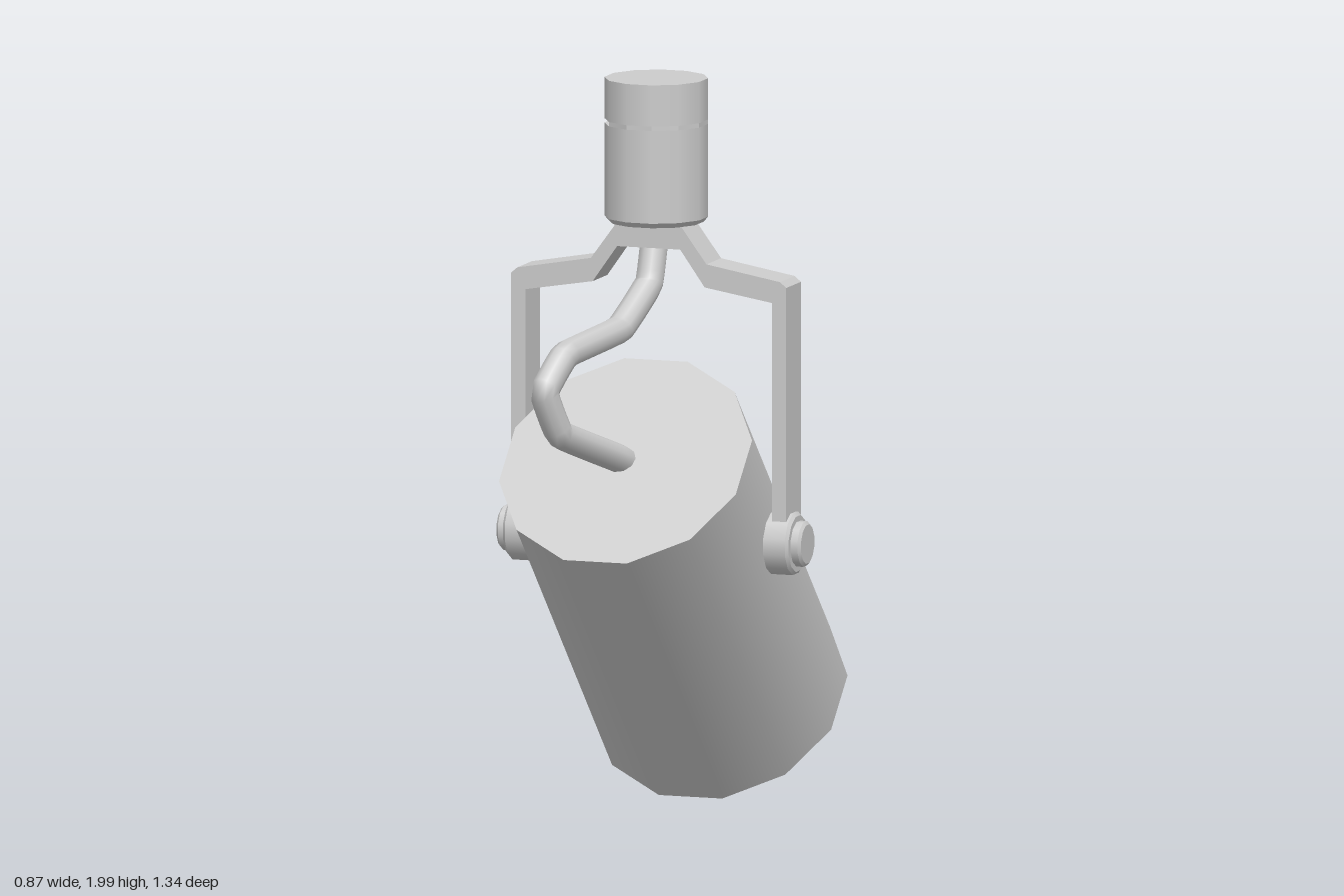
import * as THREE from 'three';
import { mergeGeometries } from 'three/addons/utils/BufferGeometryUtils.js';

const SIDES = 12;
const APOTHEM = Math.cos(Math.PI / SIDES);

// Twelve-sided turned part with flats on +-x; every profile run is smooth, runs meet at sharp edges
function turned(...runs) {
  return mergeGeometries(runs.map((run) => new THREE.LatheGeometry(
    run.map(([r, y]) => new THREE.Vector2(r / APOTHEM, y)), SIDES, Math.PI / SIDES)));
}

export function createModel() {
  const model = new THREE.Group();
  model.name = 'trackSpotlight';
  const grey = new THREE.MeshStandardMaterial({ color: 0xcccccc });
  grey.name = 'light grey';

  const add = (parent, name, geometry) => {
    const mesh = new THREE.Mesh(geometry, grey);
    mesh.name = name;
    parent.add(mesh);
    return mesh;
  };

  // Tilted lamp can, open at its lower end
  const can = new THREE.Group();
  can.name = 'lampCan';
  can.position.set(0, 0.62, -0.06);
  can.rotation.x = Math.PI / 4;
  model.add(can);
  const R = 0.338, inner = 0.308, half = 0.529, lensY = -half + 0.2;
  add(can, 'canShell', turned(
    [[R, -half], [R, half]],
    [[R, half], [0, half]],
    [[inner, -half], [R, -half]],
    [[inner, lensY], [inner, -half]],
  ));

  // Domed lens recessed in the can
  const dome = [];
  for (let i = 0; i <= 6; i++) {
    const t = i / 6;
    dome.push([inner * t, lensY - 0.09 * (1 - t * t)]);
  }
  add(can, 'lens', turned(dome));

  // Stem with a narrow slot cut in its right side
  const stem = new THREE.Group();
  stem.name = 'stem';
  stem.position.z = 0.073;
  model.add(stem);
  const S = 0.135, slotLow = 1.876, slotHigh = 1.888;
  add(stem, 'stemLower', turned(
    [[0, 1.61], [0.123, 1.61]],
    [[0.123, 1.61], [S, 1.624]],
    [[S, 1.624], [S, slotLow]],
    [[S, slotLow], [0, slotLow]],
  ));
  add(stem, 'stemUpper', turned(
    [[0, slotHigh], [S, slotHigh]],
    [[S, slotHigh], [S, 2]],
    [[S, 2], [0, 2]],
  ));
  const core = new THREE.Shape();
  for (let i = 0; i < SIDES; i++) {
    const a = ((i + 0.5) / SIDES) * Math.PI * 2;
    const x = Math.max(-0.1, Math.cos(a) * S / APOTHEM);
    const z = Math.sin(a) * S / APOTHEM;
    if (i === 0) core.moveTo(x, z); else core.lineTo(x, z);
  }
  const coreGeometry = new THREE.ExtrudeGeometry(core, { depth: slotHigh - slotLow, bevelEnabled: false });
  coreGeometry.rotateX(-Math.PI / 2);
  coreGeometry.translate(0, slotLow, 0);
  add(stem, 'stemSlotCore', coreGeometry);

  // Bent strap yoke: half outline mirrored across x
  const outer = [[0.09, 1.612], [0.165, 1.51], [0.375, 1.473], [0.393, 1.458], [0.393, 0.74]];
  const inside = [[0.352, 0.74], [0.352, 1.415], [0.16, 1.447], [0.09, 1.546]];
  const right = [...outer, ...inside];
  const left = right.map(([x, y]) => [-x, y]).reverse();
  const outline = [...right, ...left].map(([x, y]) => new THREE.Vector2(x, y));
  const yoke = new THREE.ExtrudeGeometry(new THREE.Shape(outline), { depth: 0.115, bevelEnabled: false });
  yoke.translate(0, 0, 0.018);
  add(model, 'yoke', yoke);

  // Pivot knobs on both sides
  for (const side of [1, -1]) {
    const knob = add(model, side > 0 ? 'leftKnob' : 'rightKnob', turned(
      [[0, 0.33], [0.083, 0.33]],
      [[0.083, 0.33], [0.083, 0.4]],
      [[0.083, 0.4], [0.075, 0.408]],
      [[0.075, 0.408], [0.06, 0.408]],
      [[0.06, 0.408], [0.06, 0.428]],
      [[0.06, 0.428], [0.052, 0.435]],
      [[0.052, 0.435], [0, 0.435]],
    ));
    knob.position.set(0, 0.757, 0.08);
    knob.rotation.z = -side * Math.PI / 2;
  }

  // Power cable looping from the stem to the back of the can
  const path = new THREE.CatmullRomCurve3([
    [0, 1.6, 0.075], [0, 1.45, 0.13], [-0.03, 1.345, 0.28], [-0.09, 1.31, 0.54],
    [-0.115, 1.22, 0.635], [-0.09, 1.1, 0.58], [-0.015, 1.0, 0.32], [0, 0.96, 0.25],
  ].map((p) => new THREE.Vector3(...p)), false, 'catmullrom', 0.12);
  add(model, 'cable', new THREE.TubeGeometry(path, 48, 0.039, 10));

  return model;
}
